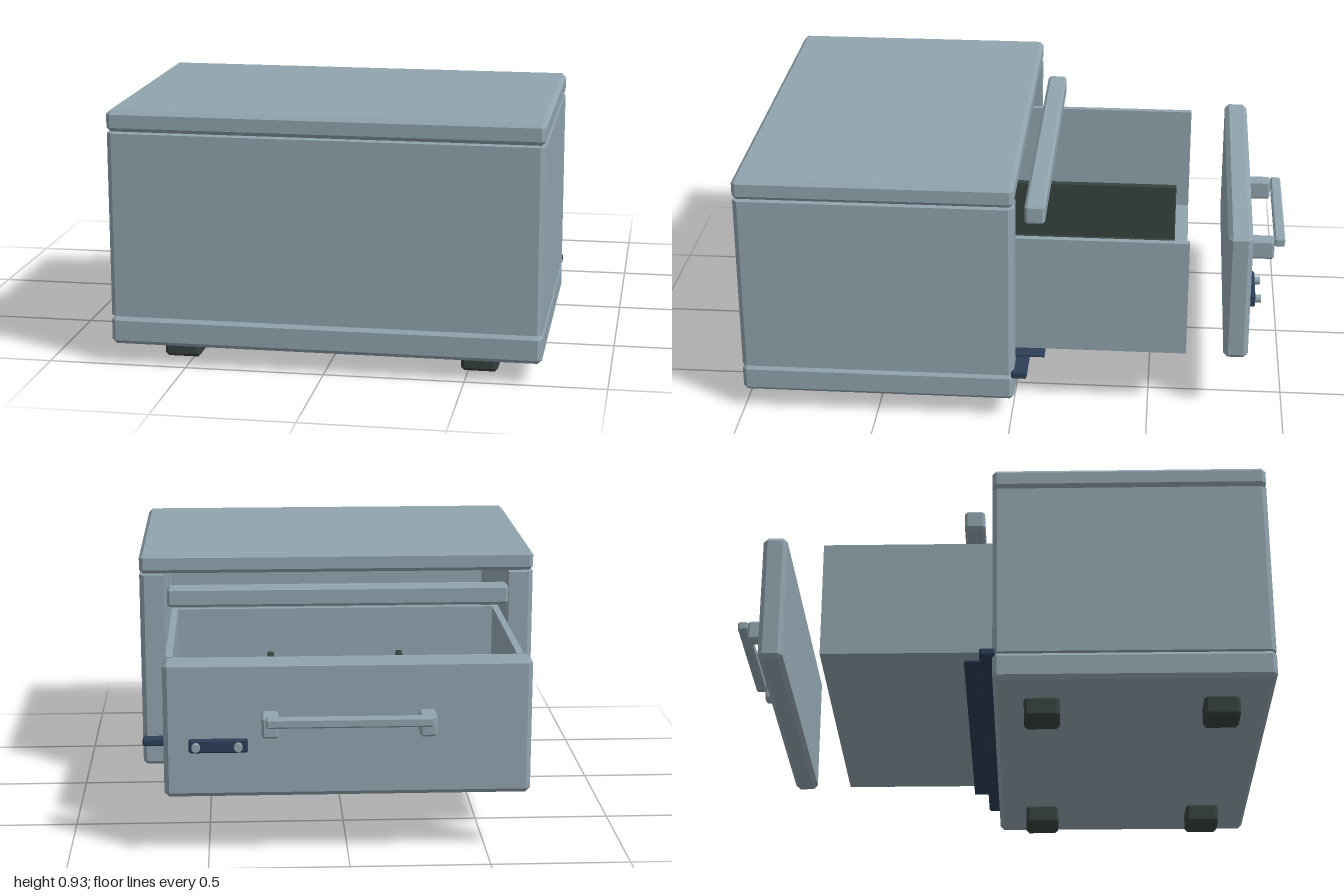
import * as THREE from 'three';
import { ConvexGeometry } from 'three/addons/geometries/ConvexGeometry.js';

const paint = (color) => new THREE.MeshStandardMaterial({ color });
const steel = paint(0x90a4ae);
const rubber = paint(0x37423f);
const navy = paint(0x2c3e57);
const paper = paint(0xf0ead6);

// Chamfered box given by its extents on each axis
function block(name, [x0, x1], [y0, y1], [z0, z1], material, c = 0) {
  const size = [x1 - x0, y1 - y0, z1 - z0];
  let geometry;
  if (c > 0) {
    const points = [];
    for (const sx of [-1, 1]) for (const sy of [-1, 1]) for (const sz of [-1, 1]) {
      for (let full = 0; full < 3; full++) {
        const p = [sx, sy, sz].map((s, i) => s * (size[i] / 2 - (i === full ? 0 : c)));
        points.push(new THREE.Vector3(...p));
      }
    }
    geometry = new ConvexGeometry(points);
  } else {
    geometry = new THREE.BoxGeometry(...size);
  }
  const mesh = new THREE.Mesh(geometry, material);
  mesh.name = name;
  mesh.position.set((x0 + x1) / 2, (y0 + y1) / 2, (z0 + z1) / 2);
  return mesh;
}

// Side walls and closed wall as one U-shaped plan, open towards -z
function cabinetWalls() {
  const w = 0.77, t = 0.095, c = 0.018, z0 = -0.01, z1 = 1.0;
  const plan = [
    [w - c, z0], [w, z0 + c], [w, z1 - c], [w - c, z1],
    [-w + c, z1], [-w, z1 - c], [-w, z0 + c], [-w + c, z0],
    [-w + t, z0], [-w + t, z1 - t], [w - t, z1 - t], [w - t, z0],
  ];
  const shape = new THREE.Shape(plan.map(([x, z]) => new THREE.Vector2(x, -z)));
  const geometry = new THREE.ExtrudeGeometry(shape, { depth: 0.665, bevelEnabled: false });
  geometry.rotateX(-Math.PI / 2);
  const mesh = new THREE.Mesh(geometry, steel);
  mesh.name = 'cabinetWalls';
  mesh.position.y = 0.18;
  return mesh;
}

function createCabinet() {
  const g = new THREE.Group();
  g.name = 'cabinet';
  g.add(
    block('topSlab', [-0.77, 0.77], [0.85, 0.927], [-0.01, 1], steel, 0.015),
    block('baseSlab', [-0.77, 0.77], [0.075, 0.178], [-0.01, 1], steel, 0.015),
    cabinetWalls(),
    block('upperRail', [-0.66, 0.66], [0.74, 0.815], [-0.115, -0.04], steel, 0.01),
    block('lowerTrim', [-0.77, 0.77], [0.165, 0.195], [-0.057, 0], navy, 0.006),
    block('trimLip', [-0.65, 0.65], [0.195, 0.201], [-0.115, -0.01], navy),
  );
  for (const x of [-0.54, 0.54]) for (const z of [0.165, 0.815]) {
    g.add(block('foot', [x - 0.066, x + 0.066], [0, 0.08], [z - 0.065, z + 0.065], rubber, 0.012));
  }
  return g;
}

function createDrawer() {
  const g = new THREE.Group();
  g.name = 'drawer';
  // Tray
  g.add(
    block('trayFloor', [-0.65, 0.65], [0.233, 0.257], [-0.638, 0.135], steel),
    block('trayEndWall', [-0.625, 0.625], [0.257, 0.68], [0.11, 0.135], steel),
  );
  for (const s of [-1, 1]) {
    const x = s * 0.6375;
    g.add(block('traySideWall', [x - 0.0125, x + 0.0125], [0.257, 0.68], [-0.638, 0.135], steel));
    const d = s * 0.255 + 0.005;
    g.add(block('divider', [d - 0.0125, d + 0.0125], [0.257, 0.51], [-0.585, 0.09], rubber, 0.004));
  }
  // Paper stacks, one per compartment
  for (const x of [-0.465, 0, 0.465]) {
    g.add(block('paperStack', [x - 0.145, x + 0.145], [0.257, 0.283], [-0.495, 0.06], paper, 0.006));
  }
  // Separated face panel with its pull handle
  g.add(block('facePanel', [-0.655, 0.655], [0.22, 0.717], [-0.865, -0.775], steel, 0.017));
  for (const x of [-0.278, 0.278]) {
    g.add(block('handlePost', [x - 0.03, x + 0.03], [0.463, 0.54], [-0.96, -0.863], steel, 0.008));
  }
  g.add(block('handleBar', [-0.293, 0.293], [0.51, 0.545], [-1, -0.96], steel, 0.006));
  // Small plate held by two studs
  g.add(block('plate', [0.355, 0.565], [0.39, 0.44], [-0.886, -0.864], navy, 0.006));
  for (const x of [0.39, 0.54]) {
    const stud = new THREE.Mesh(new THREE.CylinderGeometry(0.015, 0.015, 0.024, 16), steel);
    stud.name = 'plateStud';
    stud.rotation.x = Math.PI / 2;
    stud.position.set(x, 0.415, -0.895);
    g.add(stud);
  }
  return g;
}

export function createModel() {
  const model = new THREE.Group();
  model.name = 'drawerCabinet';
  model.add(createCabinet(), createDrawer());
  return model;
}
